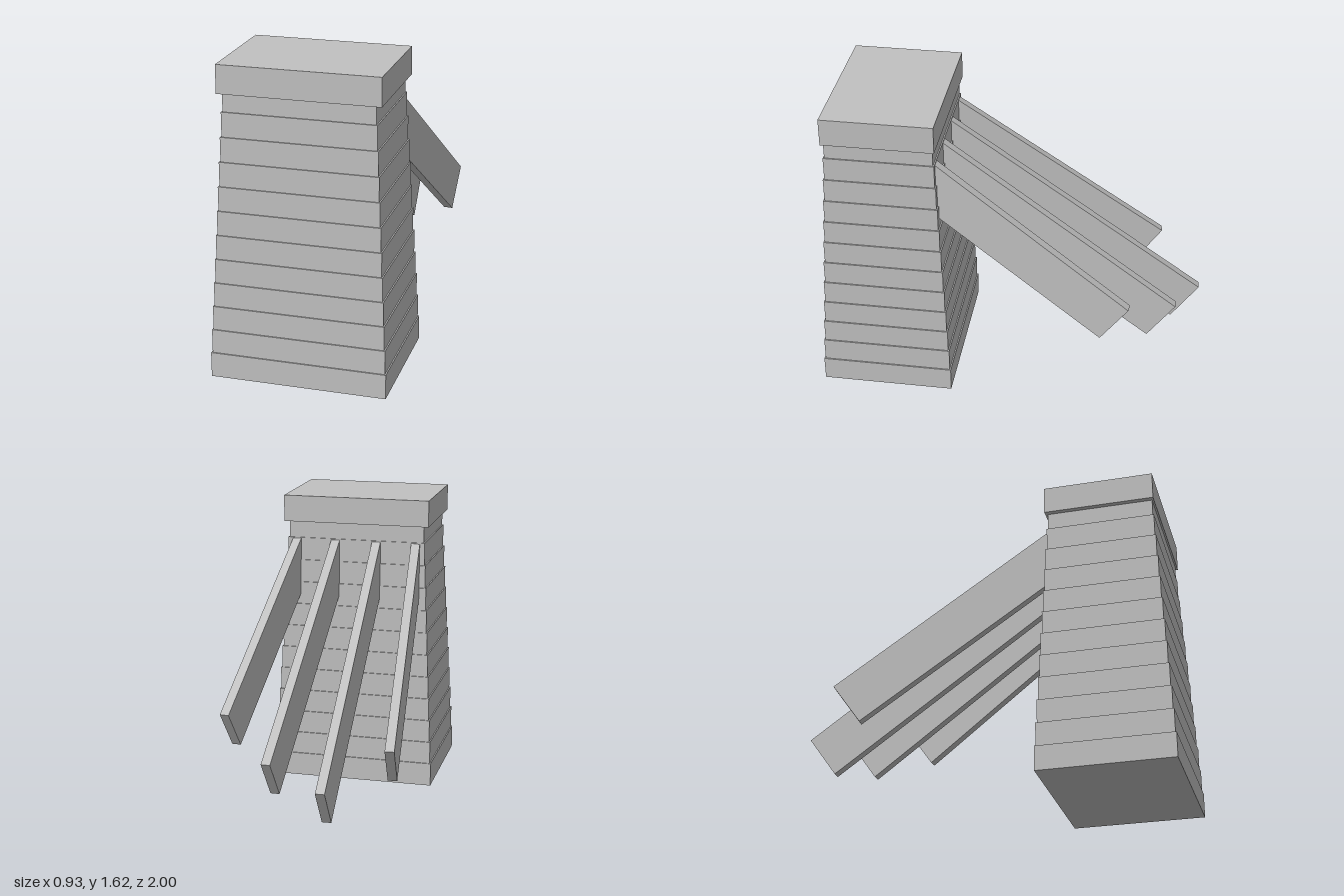
import * as THREE from 'three';

export function createModel() {
  const model = new THREE.Group();
  model.name = 'towerWithBeams';
  const stone = new THREE.MeshStandardMaterial({ color: 0xc0c0c0 });
  stone.name = 'grey stone';

  const cx = -0.003, cz = 0.648;
  const addBox = (name, w, h, d, x, y, z, parent = model) => {
    const mesh = new THREE.Mesh(new THREE.BoxGeometry(w, h, d), stone);
    mesh.name = name;
    mesh.position.set(x, y, z);
    parent.add(mesh);
    return mesh;
  };

  // Tower: stacked courses, each a little smaller than the one below
  const tower = new THREE.Group();
  tower.name = 'tower';
  model.add(tower);
  const firstTop = 0.13, pitch = 0.125, inset = 0.0066;
  for (let i = 0; i < 12; i++) {
    const bottom = i === 0 ? 0 : firstTop + (i - 1) * pitch;
    const top = firstTop + i * pitch;
    addBox(`course${i + 1}`, 2 * (0.453 - i * inset), top - bottom,
      2 * (0.352 - i * inset), cx, (top + bottom) / 2, cz, tower);
  }

  // Overhanging cap slab
  addBox('cap', 0.816, 0.145, 0.582, cx, 1.5425, 0.646);

  // Slanting beams fanning out behind the tower: start x, end x, end z
  const slope = Math.atan(0.712), startZ = 0.37, embed = 0.1;
  const beams = [
    [-0.338, -0.447, -0.768],
    [-0.118, -0.155, -1.0],
    [0.113, 0.153, -0.885],
    [0.333, 0.44, -0.652],
  ];
  beams.forEach(([x0, x1, z1], i) => {
    const run = Math.hypot(x1 - x0, startZ - z1);
    const length = run / Math.cos(slope);
    const pivot = new THREE.Group();
    pivot.name = `beam${i + 1}`;
    pivot.position.set(x0, 1.38, startZ);
    pivot.rotation.set(-slope, Math.atan2(x0 - x1, startZ - z1), 0, 'YXZ');
    addBox('plank', 0.048, 0.25, length + embed, 0, -0.125, (embed - length) / 2, pivot);
    model.add(pivot);
  });

  return model;
}
